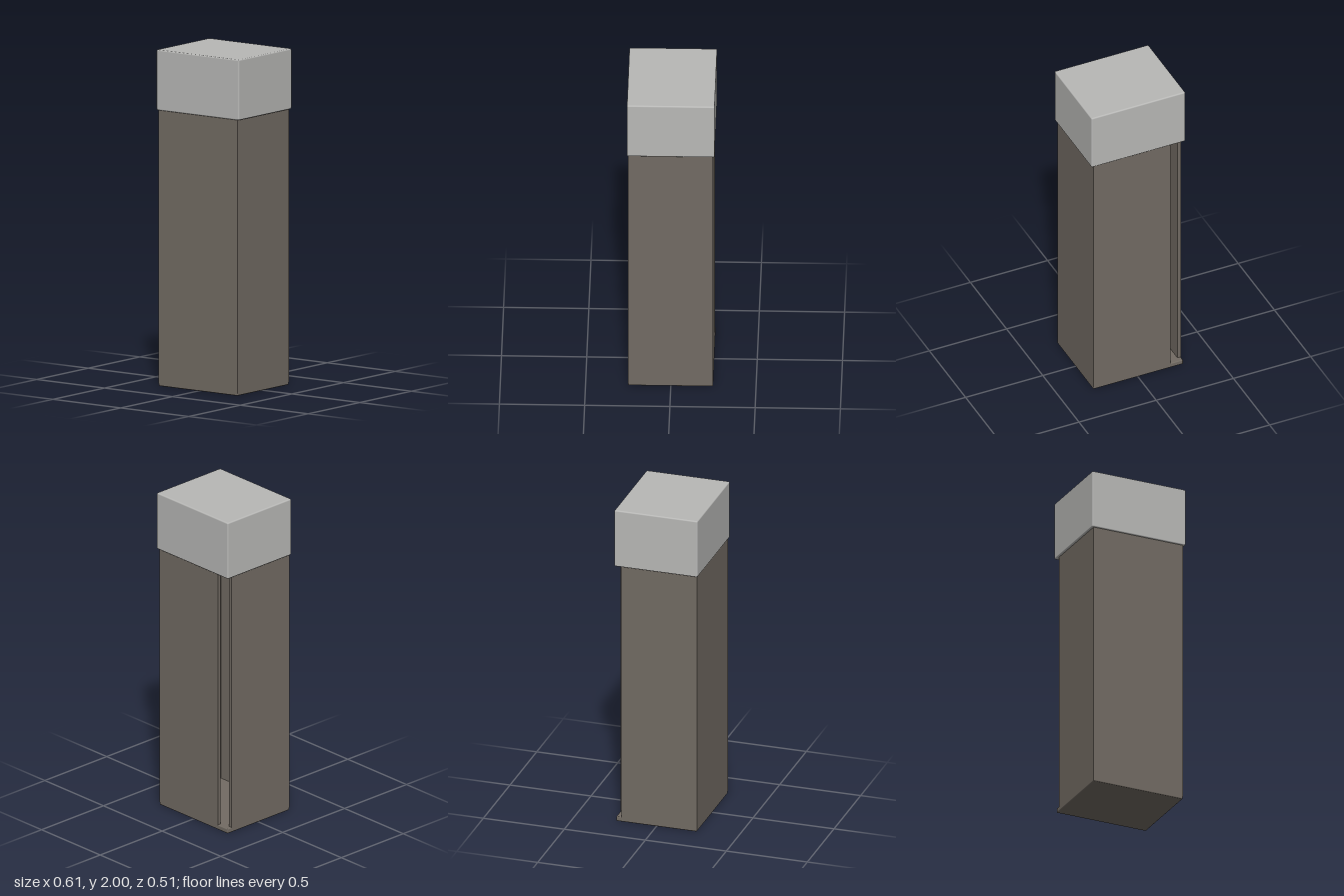
import * as THREE from 'three';
import { RoundedBoxGeometry } from 'three/addons/geometries/RoundedBoxGeometry.js';

export function createModel() {
  const model = new THREE.Group();
  const capGrey = new THREE.MeshStandardMaterial({ color: 0xb8b8b6 });
  const bodyBrown = new THREE.MeshStandardMaterial({ color: 0x726b63 });

  const add = (name, geometry, material, x, y, z) => {
    const mesh = new THREE.Mesh(geometry, material);
    mesh.name = name;
    mesh.position.set(x, y, z);
    model.add(mesh);
  };

  // Hollow body: thin walls in plan (x, z), with a slot at one back corner
  const x0 = -0.293, x1 = 0.289, z0 = -0.248, z1 = 0.25, wall = 0.022;
  const slotX = -0.21, slotZ = -0.215;
  const plan = new THREE.Shape([
    [slotX, z0], [x1, z0], [x1, z1], [x0, z1], [x0, slotZ],
    [x0 + wall, slotZ], [x0 + wall, z1 - wall], [x1 - wall, z1 - wall],
    [x1 - wall, z0 + wall], [slotX, z0 + wall],
  ].map(([x, z]) => new THREE.Vector2(x, z)));
  const bodyTop = 1.66, floorTop = 0.03;
  const walls = new THREE.ExtrudeGeometry(plan, { depth: bodyTop - floorTop + 0.015, bevelEnabled: false });
  walls.rotateX(Math.PI / 2);
  add('bodyWalls', walls, bodyBrown, 0, bodyTop, 0);

  // Floor plate closing the bottom, full footprint
  add('floorPlate', new RoundedBoxGeometry(x1 - x0, floorTop, z1 - z0, 2, 0.006), bodyBrown,
    (x0 + x1) / 2, floorTop / 2, (z0 + z1) / 2);

  // Block cap with slightly softened edges
  add('cap', new RoundedBoxGeometry(0.608, 0.36, 0.514, 3, 0.008), capGrey, 0, 1.82, 0);

  return model;
}
